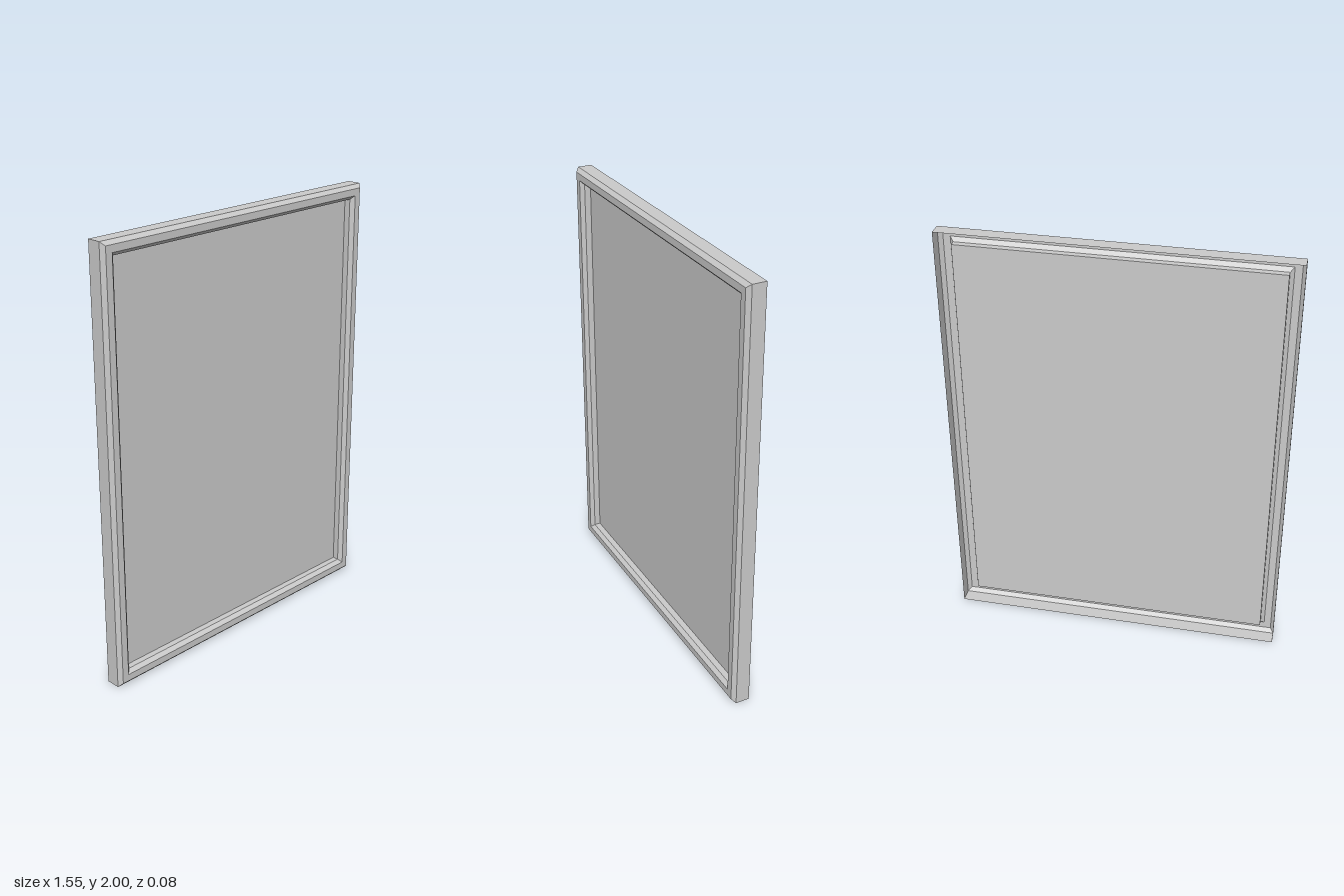
import * as THREE from 'three';

const HALF_W = 0.775;
const HEIGHT = 2;

// Frame cross-section as [inset from outer edge, z], from the open back round to the panel
const PROFILE = [
  [0, -0.041],
  [0, 0.024],
  [0.017, 0.041],
  [0.049, 0.041],
  [0.066, 0.024],
  [0.066, -0.005],
];

// Corners of one rectangular ring, counter-clockwise seen from the front
function ring([inset, z]) {
  const x = HALF_W - inset;
  return [[-x, inset, z], [x, inset, z], [x, HEIGHT - inset, z], [-x, HEIGHT - inset, z]];
}

// Mitred strip running round the rectangle between two profile points
function strip(from, to) {
  const a = ring(from), b = ring(to), points = [];
  for (let i = 0; i < 4; i++) {
    const j = (i + 1) % 4;
    points.push(...a[i], ...a[j], ...b[j], ...a[i], ...b[j], ...b[i]);
  }
  const geometry = new THREE.BufferGeometry();
  geometry.setAttribute('position', new THREE.Float32BufferAttribute(points, 3));
  geometry.computeVertexNormals();
  return geometry;
}

export function createModel() {
  const model = new THREE.Group();
  model.name = 'framedPanel';
  const material = new THREE.MeshStandardMaterial({
    color: 0xcccccc, flatShading: true, side: THREE.DoubleSide,
  });

  // Hollow frame moulding, open at the back
  const frame = new THREE.Group();
  frame.name = 'frame';
  const names = ['outerWall', 'outerBevel', 'frontFace', 'innerBevel', 'innerWall'];
  names.forEach((name, i) => {
    const mesh = new THREE.Mesh(strip(PROFILE[i], PROFILE[i + 1]), material);
    mesh.name = name;
    frame.add(mesh);
  });
  model.add(frame);

  // Recessed flat panel
  const [inset, z] = PROFILE[PROFILE.length - 1];
  const panel = new THREE.Mesh(
    new THREE.PlaneGeometry(2 * (HALF_W - inset), HEIGHT - 2 * inset), material);
  panel.name = 'panel';
  panel.position.set(0, HEIGHT / 2, z);
  model.add(panel);

  return model;
}
